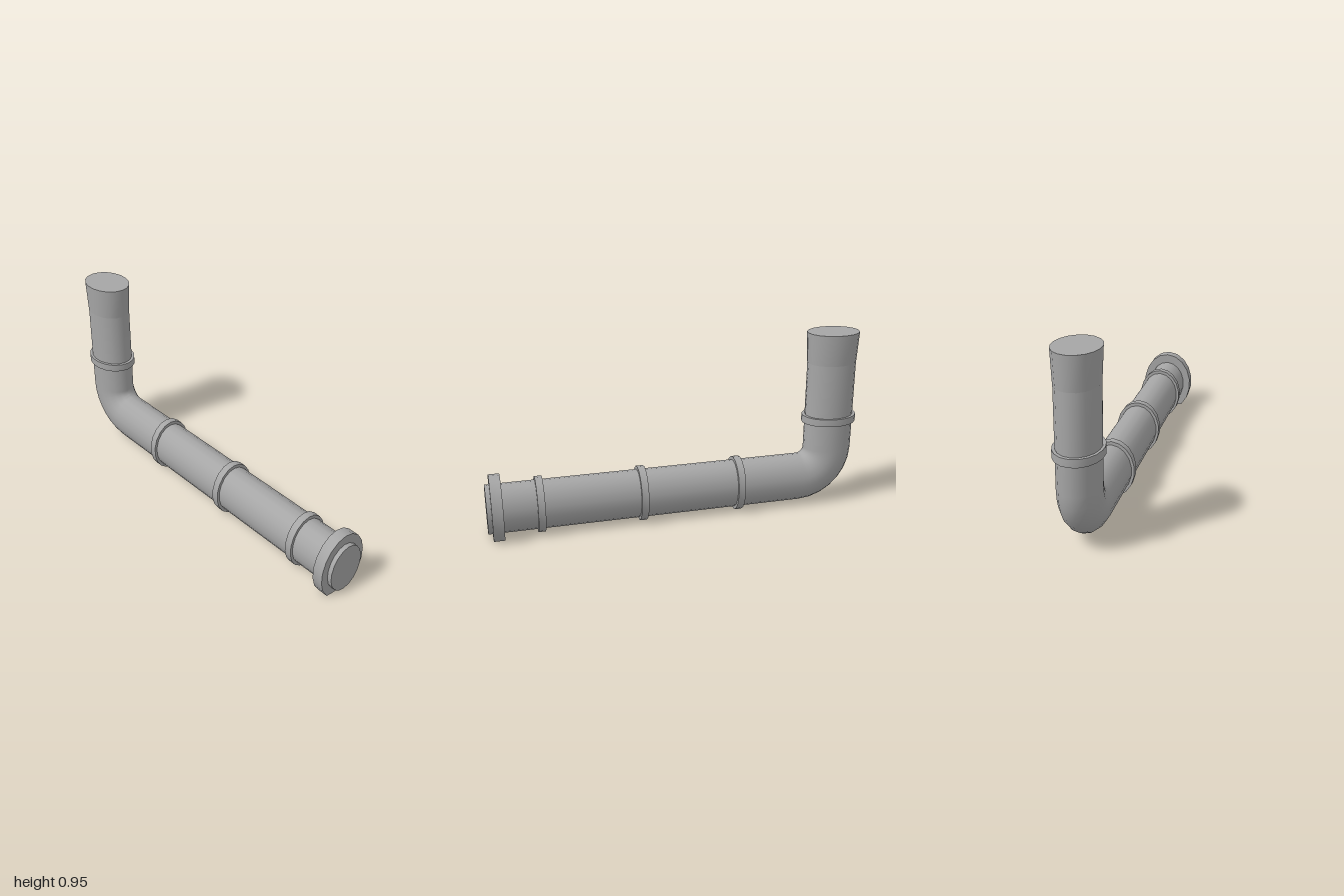
import * as THREE from 'three';
import { toCreasedNormals } from 'three/addons/utils/BufferGeometryUtils.js';

const SIDES = 18;
const R = 0.132;      // pipe half-width in the plane of the bend
const DEPTH = 0.78;   // depth ratio of the oval section
const PIPE_Y = 0.145; // axis height of the long run
const PIPE_X = -0.852; // axis of the upright

export function createModel() {
  const model = new THREE.Group();
  const grey = new THREE.MeshStandardMaterial({ color: 0xa6a6a6 });

  function add(name, geometry) {
    const mesh = new THREE.Mesh(toCreasedNormals(geometry, 0.7), grey);
    mesh.name = name;
    model.add(mesh);
  }

  // Oval disc around the upright
  function upright(name, y0, y1, rBottom, rTop) {
    const g = new THREE.CylinderGeometry(rTop, rBottom, y1 - y0, SIDES);
    g.rotateY(Math.PI / 2);
    g.scale(1, 1, DEPTH);
    g.translate(PIPE_X, (y0 + y1) / 2, 0);
    add(name, g);
  }

  // Oval disc around the long run, flattened where it rests on the floor
  function level(name, x0, x1, r, floor) {
    const g = new THREE.CylinderGeometry(r, r, x1 - x0, SIDES);
    g.rotateY(Math.PI / 2);
    g.rotateZ(-Math.PI / 2);
    g.scale(1, 1, DEPTH);
    g.translate((x0 + x1) / 2, PIPE_Y, 0);
    const p = g.attributes.position;
    for (let i = 0; i < p.count; i++) p.setY(i, Math.max(p.getY(i), floor));
    add(name, g);
  }

  // Pipe axis stations: long run, quarter bend, upright
  const bend = 0.165, steps = 7;
  const stations = [{ x: 1, y: PIPE_Y, a: 0 }];
  for (let i = 0; i <= steps; i++) {
    const a = (i / steps) * Math.PI / 2;
    stations.push({
      x: PIPE_X + bend - bend * Math.sin(a),
      y: PIPE_Y + bend - bend * Math.cos(a),
      a,
    });
  }
  stations.push({ x: PIPE_X, y: 0.81, a: Math.PI / 2 });

  // Bent pipe: each row of a cylinder is moved to its station
  const rows = stations.length - 1;
  const pipe = new THREE.CylinderGeometry(R, R, rows, SIDES, rows);
  pipe.rotateY(Math.PI / 2);
  const p = pipe.attributes.position;
  for (let i = 0; i < p.count; i++) {
    const s = stations[Math.round(p.getY(i) + rows / 2)];
    const u = p.getX(i);
    p.setXYZ(i, s.x + u * Math.sin(s.a), s.y + u * Math.cos(s.a), p.getZ(i) * DEPTH);
  }
  add('bentPipe', pipe);

  // Flared mouth and collar on the upright
  upright('flaredMouth', 0.79, 0.955, 0.1325, 0.142);
  upright('uprightCollar', 0.46, 0.5, 0.149, 0.149);

  // Bands and end flange on the long run
  [-0.333, 0.194, 0.729].forEach((x, i) => level('band' + (i + 1), x - 0.019, x + 0.019, 0.15, 0.004));
  level('endFlange', 0.92, 0.977, 0.183, 0);

  return model;
}
